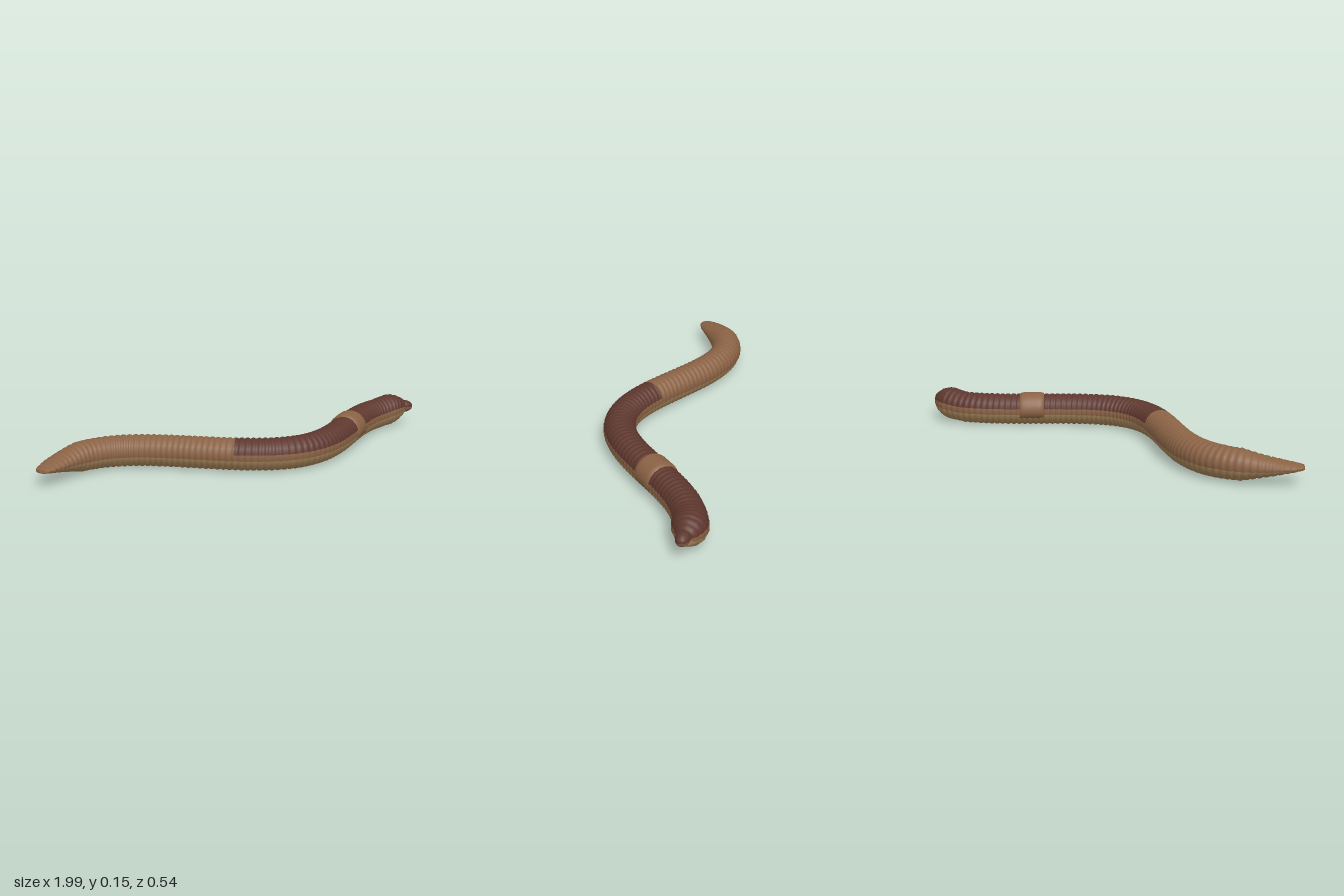
import * as THREE from 'three';

const material = (name, color) => {
  const m = new THREE.MeshStandardMaterial({ color });
  m.name = name;
  return m;
};
const dark = material('dark red brown', 0x5e372e);
const mid = material('mid brown', 0x8b6345);
const tan = material('belly tan', 0xa68459);

// Piecewise linear lookup in [x, value] pairs
function lookup(table, x) {
  for (let i = 1; i < table.length; i++) {
    const [x0, v0] = table[i - 1], [x1, v1] = table[i];
    if (x <= x1) return THREE.MathUtils.mapLinear(Math.max(x, x0), x0, x1, v0, v1);
  }
  return table[table.length - 1][1];
}

// Half height and half width along the body: flattened tail, blunt head
const HEAD = [[0, 0.0725], [0.8, 0.0725], [0.87, 0.0755], [0.905, 0.065], [0.935, 0.048], [0.95, 0.035]];
const HEIGHT = [[-0.98, 0.01], [-0.77, 0.066], [-0.6, 0.0705], ...HEAD];
const WIDTH = [[-0.98, 0.028], [-0.955, 0.045], [-0.91, 0.058], [-0.84, 0.067], [-0.7, 0.0715], ...HEAD];
const LIFT = [[-0.98, 0.071], [-0.7, 0.0725], [0.78, 0.0725], [0.88, 0.084], [0.95, 0.09]];

// Wavy centre line lying on the ground
const path = new THREE.CatmullRomCurve3(Array.from({ length: 81 }, (_, i) => {
  const x = -0.98 + (1.93 * i) / 80;
  return new THREE.Vector3(x, lookup(LIFT, x), 0.2 * Math.cos((Math.PI * 2 * (x - 0.1)) / 1.54));
}));
path.arcLengthDivisions = 800;

// Sweeps a cross-section along the path; scale(u, angle) swells it and
// paint(x, j) gives the material index of a face
function sweep(us, angles, scale, paint, materials, closed) {
  const pos = [], lists = materials.map(() => []), xs = [];
  const n = angles.length, up = new THREE.Vector3(0, 1, 0);
  for (const u of us) {
    const c = path.getPointAt(u), t = path.getTangentAt(u).setY(0).normalize();
    const side = t.cross(up);
    xs.push(c.x);
    for (const a of angles) {
      const s = scale(u, a), w = lookup(WIDTH, c.x) * s * Math.cos(a);
      pos.push(c.x + side.x * w, c.y + lookup(HEIGHT, c.x) * s * Math.sin(a), c.z + side.z * w);
    }
  }
  const faces = closed ? n : n - 1, last = us.length - 1;
  for (let i = 0; i < last; i++) {
    for (let j = 0; j < faces; j++) {
      const k = (j + 1) % n, a = i * n + j, b = i * n + k;
      lists[paint(xs[i], j)].push(a, a + n, b + n, a, b + n, b);
    }
  }
  if (closed) {
    // End caps
    const first = path.getPointAt(us[0]), end = path.getPointAt(us[last]), c = us.length * n;
    pos.push(...first.toArray(), ...end.toArray());
    for (let j = 0; j < n; j++) {
      const k = (j + 1) % n;
      lists[paint(xs[0], j)].push(c, j, k);
      lists[paint(xs[last], j)].push(c + 1, last * n + k, last * n + j);
    }
  }
  const geo = new THREE.BufferGeometry();
  geo.setAttribute('position', new THREE.Float32BufferAttribute(pos, 3));
  geo.setIndex(lists.flat());
  let start = 0;
  lists.forEach((list, m) => {
    geo.addGroup(start, list.length, m);
    start += list.length;
  });
  geo.computeVertexNormals();
  return new THREE.Mesh(geo, materials);
}

export function createModel() {
  const worm = new THREE.Group();
  worm.name = 'worm';

  // Ringed body: a groove and a rounded bulge for each segment
  const RINGS = 84, SIDES = 16, bulge = [0.93, 0.99, 1.005, 0.99];
  const us = Array.from({ length: RINGS * 4 + 1 }, (_, i) => i / (RINGS * 4));
  const angles = Array.from({ length: SIDES }, (_, j) => ((j - 0.5) * Math.PI * 2) / SIDES);
  const body = sweep(us, angles,
    (u) => bulge[Math.round(u * RINGS * 4) % 4],
    (x, j) => (j > 8 ? 2 : j % 8 === 0 || x < -0.155 ? 1 : 0),
    [dark, mid, tan], true);
  body.name = 'ringedBody';
  worm.add(body);

  // Smooth saddle wrapped over the back and flanks
  const u0 = 0.745, u1 = 0.797;
  let best = 0;
  for (let i = 0; i <= 400; i++) {
    if (Math.abs(path.getPointAt(i / 400).x - 0.508) < Math.abs(path.getPointAt(best).x - 0.508)) best = i / 400;
  }
  const half = (u1 - u0) / 2;
  const steps = [-1, -0.9, -0.7, -0.35, 0, 0.35, 0.7, 0.9, 1];
  const low = THREE.MathUtils.degToRad(-27);
  const arc = Array.from({ length: 19 }, (_, j) => low + ((Math.PI - 2 * low) * j) / 18);
  const saddle = sweep(steps.map((s) => best + s * half), arc,
    (u, a) => {
      const along = Math.min(1, (1 - Math.abs(u - best) / half) * 4);
      const around = Math.min(1, (Math.min(a - low, Math.PI - low - a)) * 3);
      return 0.96 + 0.13 * Math.sqrt(Math.max(0, along * around));
    },
    () => 0, [mid], false);
  saddle.name = 'saddle';
  worm.add(saddle);

  // Small snout lobe, dark above and lighter below
  const snout = new THREE.Group();
  snout.name = 'snout';
  [dark, mid].forEach((mat, i) => {
    const lobe = new THREE.Mesh(
      new THREE.SphereGeometry(1, 16, 6, 0, Math.PI * 2, (i * Math.PI) / 2, Math.PI / 2), mat);
    lobe.name = i ? 'snoutUnderside' : 'snoutTop';
    snout.add(lobe);
  });
  snout.scale.set(0.045, 0.03, 0.03);
  snout.position.set(0.95, 0.092, -0.185);
  snout.rotation.y = -0.25;
  worm.add(snout);

  return worm;
}
